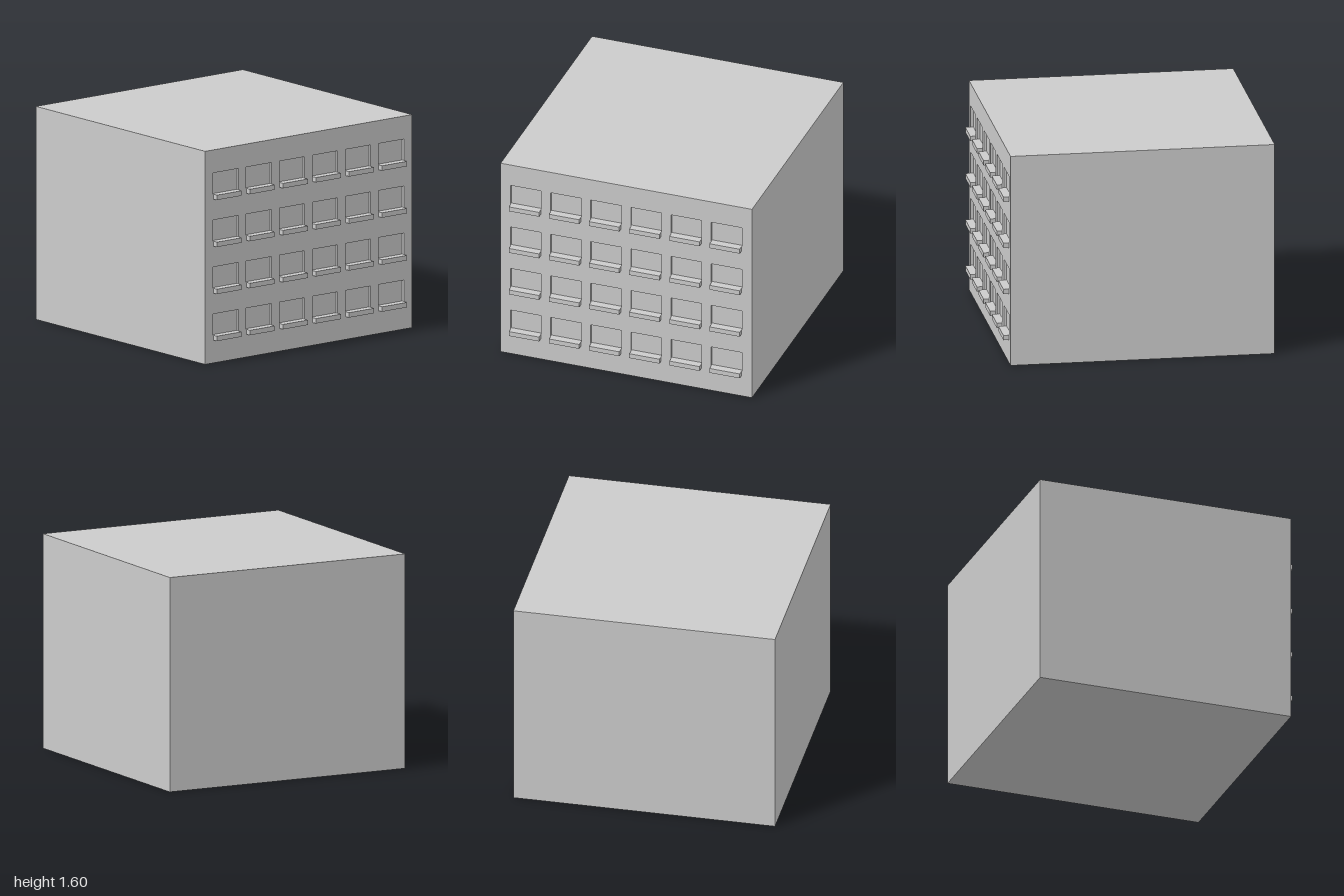
import * as THREE from 'three';

const W = 1.96, H = 1.6, BACK = -1, FRONT = 0.96, RECESS = 0.02;
const COLS = 6, ROWS = 4;
const WIN_W = 0.24, WIN_H = 0.16;
const SILL_W = 0.235, SILL_H = 0.037, SILL_D = 0.04;

const columnX = (i) => -0.784 + i * 0.313; // window centre
const rowY = (j) => 0.208 + j * 0.353; // window bottom

export function createModel() {
  const group = new THREE.Group();
  const material = new THREE.MeshStandardMaterial({ color: 0xcccccc, flatShading: true });
  const add = (name, geometry, x, y, z) => {
    const mesh = new THREE.Mesh(geometry, material);
    mesh.name = name;
    mesh.position.set(x, y, z);
    group.add(mesh);
  };

  // Solid building block; its front face forms the window panes
  const depth = FRONT - RECESS - BACK;
  add('buildingBlock', new THREE.BoxGeometry(W, H, depth), 0, H / 2, BACK + depth / 2);

  // Facade layer with a grid of window openings
  const rect = (Type, x, y, w, h) => new Type([
    new THREE.Vector2(x, y), new THREE.Vector2(x + w, y),
    new THREE.Vector2(x + w, y + h), new THREE.Vector2(x, y + h),
  ]);
  const facade = rect(THREE.Shape, -W / 2, 0, W, H);
  const sill = new THREE.BoxGeometry(SILL_W, SILL_H, SILL_D);
  for (let j = 0; j < ROWS; j++) {
    for (let i = 0; i < COLS; i++) {
      const x = columnX(i), y = rowY(j);
      facade.holes.push(rect(THREE.Path, x - WIN_W / 2, y, WIN_W, WIN_H));
      // Projecting ledge under each window
      add('windowSill', sill, x, y - SILL_H / 2, FRONT + SILL_D / 2);
    }
  }
  const facadeGeometry = new THREE.ExtrudeGeometry(facade, { depth: RECESS, bevelEnabled: false });
  add('facade', facadeGeometry, 0, 0, FRONT - RECESS);

  return group;
}
